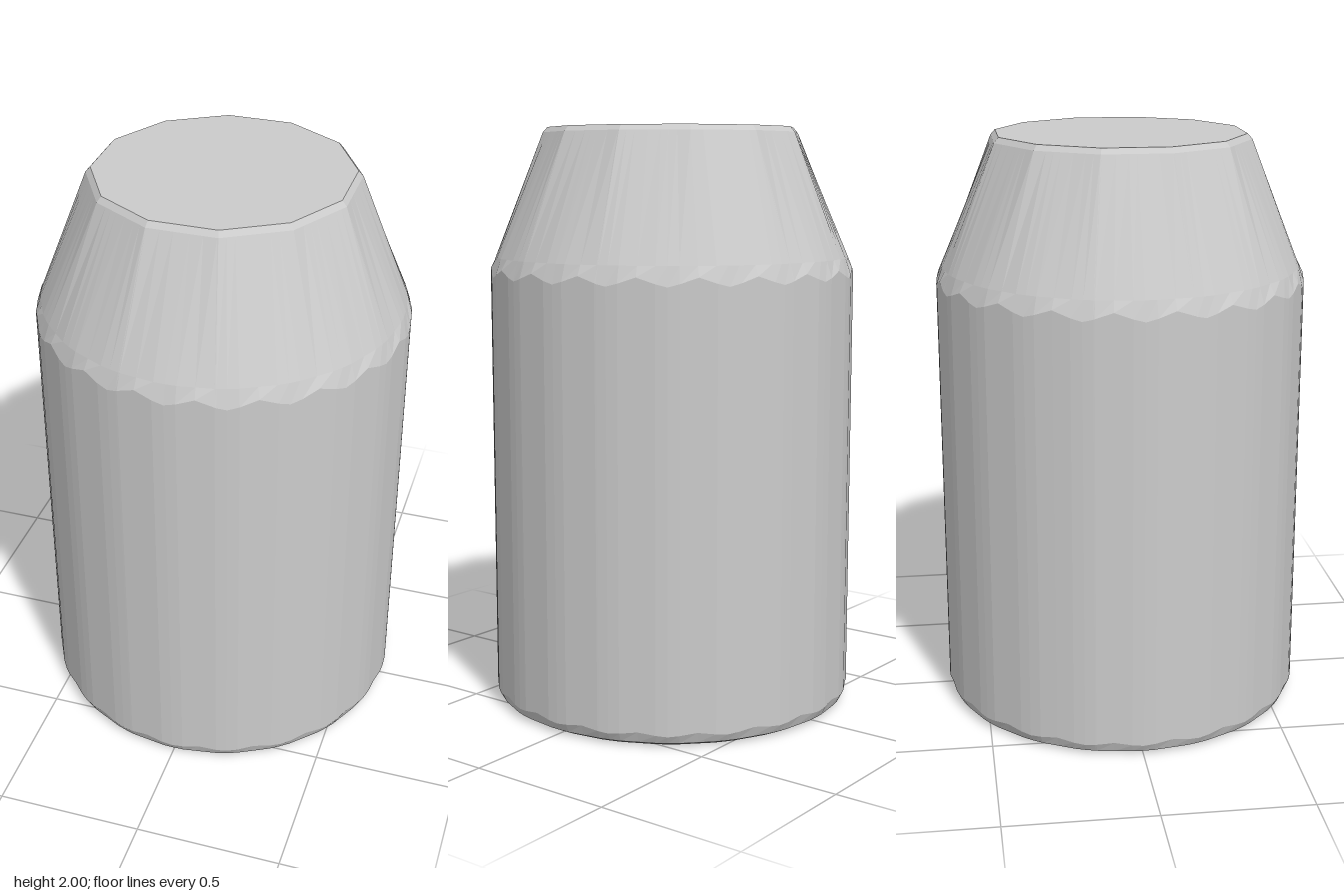
import * as THREE from 'three';

const RAD = Math.PI / 180;

// Distance from the centre to the side of a regular n-gon with its corner at angle 'start'
function polygonRadius(angle, n, corner, start = 0) {
  const step = 360 / n;
  const t = (((angle - start) % step) + step) % step;
  return corner * Math.cos((step / 2) * RAD) / Math.cos((t - step / 2) * RAD);
}

// Twenty flat sides with softened corners
const bodyRadius = (a, r) => Math.min(polygonRadius(a, 20, r * 1.008), r);
// Twelve-sided top
const neckRadius = (a, r) => polygonRadius(a, 12, r, 15);

// Directions shared by every ring: body corners, their bevels, side middles and top corners
function ringAngles() {
  const angles = [];
  for (let i = 0; i < 20; i++) for (const o of [-3.5, 0, 3.5, 9]) angles.push((i * 18 + o + 360) % 360);
  for (let i = 0; i < 12; i++) angles.push(15 + i * 30);
  return angles.sort((a, b) => a - b);
}

// Skin through rings, each a function angle -> [radius, height]
function loft(rings, angles) {
  const n = angles.length;
  const positions = [];
  const index = [];
  for (const ring of rings) {
    for (const a of angles) {
      const [r, y] = ring(a);
      positions.push(r * Math.sin(a * RAD), y, r * Math.cos(a * RAD));
    }
  }
  for (let k = 0; k < rings.length - 1; k++) {
    for (let i = 0; i < n; i++) {
      const j = (i + 1) % n;
      const a = k * n + i, b = k * n + j, c = a + n, d = b + n;
      index.push(a, b, d, a, d, c);
    }
  }
  const geometry = new THREE.BufferGeometry();
  geometry.setAttribute('position', new THREE.Float32BufferAttribute(positions, 3));
  geometry.setIndex(index);
  const flat = geometry.toNonIndexed();
  flat.computeVertexNormals();
  return flat;
}

export function createModel() {
  const group = new THREE.Group();
  group.name = 'canister';
  const material = new THREE.MeshStandardMaterial({ color: 0xcccccc, flatShading: true });
  const angles = ringAngles();
  const add = (name, rings) => {
    const mesh = new THREE.Mesh(loft(rings, angles), material);
    mesh.name = name;
    group.add(mesh);
  };

  // The shoulder dips at each body corner and rises in the middle of each side
  const wave = (a) => 0.5 - 0.5 * Math.cos(a * 20 * RAD);
  const shoulder = (a) => [bodyRadius(a, 0.63), 1.495 + 0.03 * wave(a)];

  // Base and straight wall, with a small rounded bottom edge
  add('body', [
    () => [0, 0],
    (a) => [bodyRadius(a, 0.592), 0],
    (a) => [bodyRadius(a, 0.616), 0.012],
    (a) => [bodyRadius(a, 0.63), 0.038 + 0.012 * wave(a)],
    shoulder,
  ]);

  // Taper from the twenty-sided wall to the twelve-sided top
  add('taperedTop', [
    shoulder,
    (a) => [bodyRadius(a, 0.611), 1.56],
    (a) => [neckRadius(a, 0.444), 1.982],
    (a) => [neckRadius(a, 0.428), 2],
    () => [0, 2],
  ]);

  return group;
}
